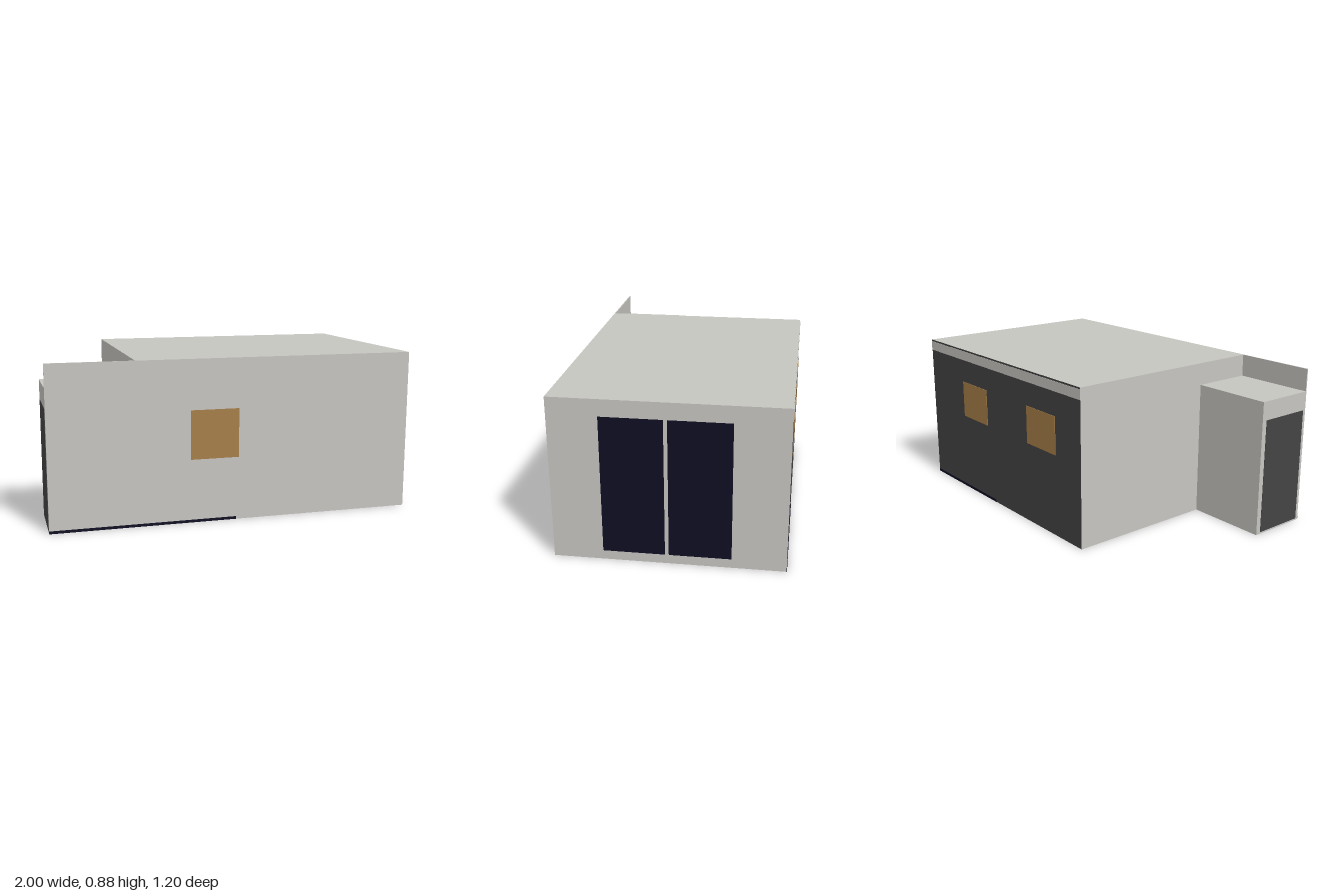
import * as THREE from 'three';

function material(name, color) {
  const m = new THREE.MeshStandardMaterial({ color });
  m.name = name;
  return m;
}

export function createModel() {
  const house = new THREE.Group();
  house.name = 'house';

  const plaster = material('pale plaster', 0xc6c5c0);
  const charcoal = material('charcoal', 0x444444);
  const navy = material('dark navy', 0x0e0e22);
  const wood = material('ochre wood', 0xa67e48);

  // Box given by its lower and upper corner
  function box(name, mat, [x0, y0, z0], [x1, y1, z1]) {
    const geo = new THREE.BoxGeometry(x1 - x0, y1 - y0, z1 - z0);
    const mesh = new THREE.Mesh(geo, mat);
    mesh.position.set((x0 + x1) / 2, (y0 + y1) / 2, (z0 + z1) / 2);
    mesh.name = name;
    house.add(mesh);
    return mesh;
  }

  // Face order: +x, -x, +y, -y, +z, -z
  // Main block with a dark back wall and a dark underside
  box('mainBlock', [plaster, plaster, plaster, navy, plaster, charcoal], [-0.54, 0, -0.598], [1, 0.88, 0.598]);

  // Lower entrance block beside it
  box('entranceBlock', [plaster, plaster, plaster, wood, plaster, plaster], [-1, 0, 0.25], [-0.54, 0.755, 0.598]);
  box('entranceDoor', charcoal, [-1.002, 0.01, 0.28], [-0.999, 0.65, 0.58]);

  // Full-width front wall rising above the entrance roof
  box('frontWall', plaster, [-1, 0, 0.594], [1, 0.88, 0.6]);

  // Roof edge showing on the back wall
  box('roofEdge', plaster, [-0.54, 0.815, -0.6], [1, 0.87, -0.597]);

  // Floor edge at the foot of the front and back walls
  box('frontFloorEdge', navy, [-1, 0, 0.599], [0, 0.015, 0.601]);
  box('backFloorEdge', navy, [0.3, 0, -0.6], [1, 0.015, -0.597]);

  // Windows
  box('frontWindow', wood, [-0.25, 0.345, 0.599], [0.015, 0.61, 0.602]);
  for (const x of [-0.32, 0.36]) {
    box('backWindow', wood, [x, 0.465, -0.601], [x + 0.265, 0.68, -0.597]);
  }

  // Pair of tall glass doors on the side wall
  for (const z of [-0.32, 0.02]) {
    box('glassDoor', navy, [0.999, 0.05, z], [1.002, 0.79, z + 0.32]);
  }

  return house;
}
